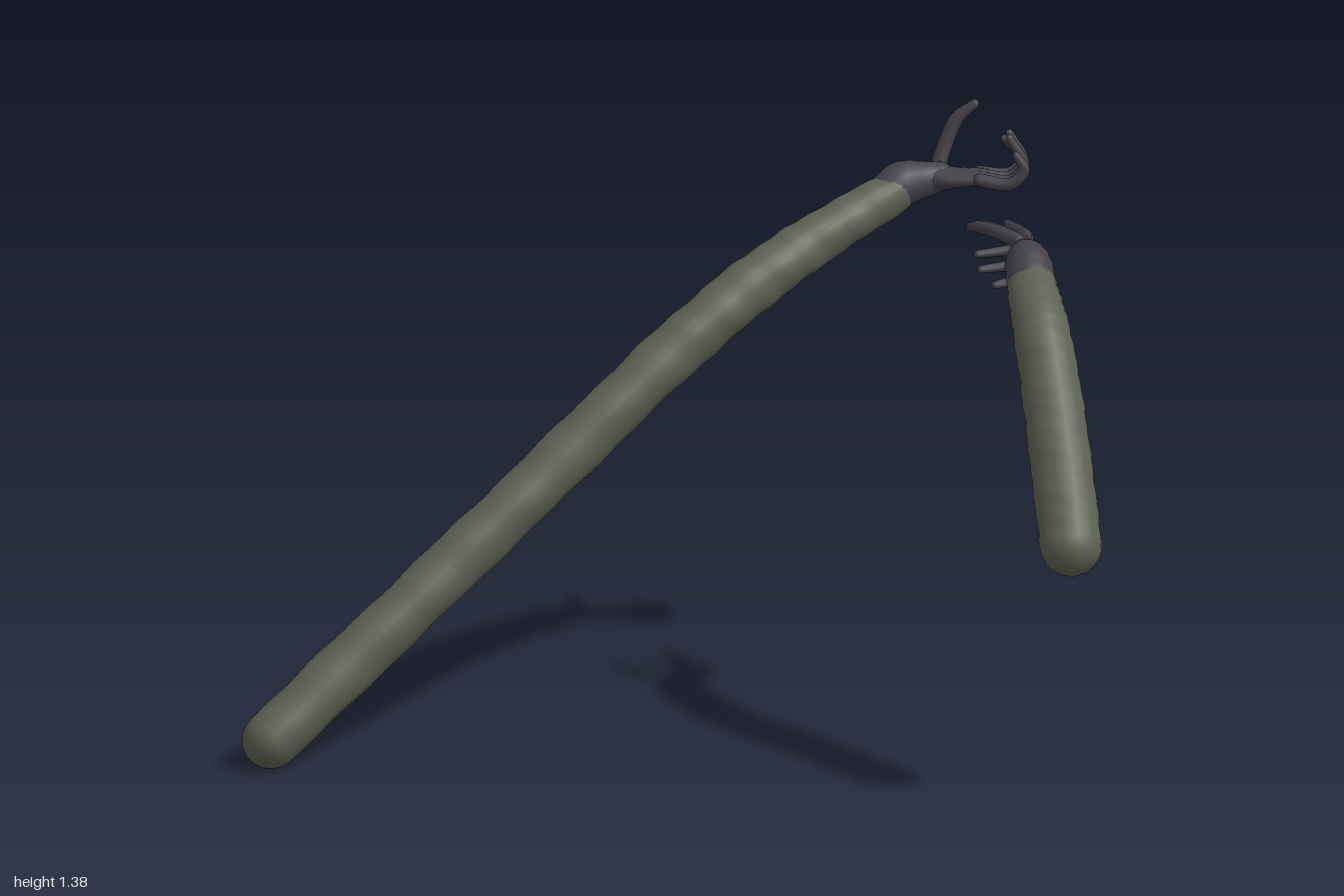
import * as THREE from 'three';

const sleeveMat = new THREE.MeshStandardMaterial({ color: 0x5c5f52 });
sleeveMat.name = 'olive sleeve';
const gloveMat = new THREE.MeshStandardMaterial({ color: 0x434047 });
gloveMat.name = 'dark glove';

// Smooth closed limb through [x, y, z, width radius, depth radius] points,
// with rounded ends; `ref` is the direction of the width radius.
function limb(points, { ref = [0, 1, 0], steps = 24, sides = 14, wrinkle = 0 } = {}) {
  const curve = new THREE.CatmullRomCurve3(points.map(p => new THREE.Vector3(p[0], p[1], p[2])));
  const radii = new THREE.CatmullRomCurve3(
    points.map(p => new THREE.Vector3(p[3], p[4] ?? p[3], 0)), false, 'catmullrom', 0.5);
  const rings = [];
  const CAP = 6;
  for (let k = 0; k < CAP; k++) rings.push([0, -Math.cos(k / CAP * Math.PI / 2), Math.sin(k / CAP * Math.PI / 2)]);
  for (let i = 0; i <= steps; i++) rings.push([i / steps, 0, 1]);
  for (let k = CAP - 1; k >= 0; k--) rings.push([1, Math.cos(k / CAP * Math.PI / 2), Math.sin(k / CAP * Math.PI / 2)]);

  const pos = [], index = [];
  rings.forEach(([t, shift, scale], i) => {
    const r = radii.getPoint(t), tan = curve.getTangent(t);
    const side = new THREE.Vector3(...ref).addScaledVector(tan, -tan.dot(new THREE.Vector3(...ref))).normalize();
    const up = new THREE.Vector3().crossVectors(tan, side);
    const centre = curve.getPoint(t).addScaledVector(tan, shift * Math.min(r.x, r.y));
    for (let j = 0; j < sides; j++) {
      const a = j / sides * Math.PI * 2;
      const fold = 1 + wrinkle * Math.sin(t * 75 + 2.5 * Math.cos(a)) * Math.sin(t * 31 + a);
      const s = Math.max(scale, 0.001) * fold;
      const v = centre.clone().addScaledVector(side, r.x * s * Math.cos(a)).addScaledVector(up, r.y * s * Math.sin(a));
      pos.push(v.x, v.y, v.z);
      if (i < rings.length - 1) {
        const n = (j + 1) % sides, p = i * sides, q = p + sides;
        index.push(p + j, p + n, q + j, p + n, q + n, q + j);
      }
    }
  });
  const geo = new THREE.BufferGeometry();
  geo.setAttribute('position', new THREE.Float32BufferAttribute(pos, 3));
  geo.setIndex(index);
  geo.computeVertexNormals();
  return geo;
}

function add(group, name, mat, points, options) {
  const mesh = new THREE.Mesh(limb(points, options), mat);
  mesh.name = name;
  group.add(mesh);
}

// Finger radii taper from knuckle to tip, with a slight swelling at each joint
function finger(group, name, path, r = 0.016) {
  const taper = [1, 0.95, 0.85, 0.6];
  add(group, name, gloveMat, path.map((p, i) => [...p, r * taper[i]]),
    { ref: [0.3, 0.35, 0.89], steps: 16, sides: 10 });
}

function longArm() {
  const arm = new THREE.Group();
  arm.name = 'longArm';
  add(arm, 'longSleeve', sleeveMat, [
    [-0.93, 0.075, 0.16, 0.069], [-0.6, 0.355, 0.005, 0.068], [-0.3, 0.61, -0.137, 0.067],
    [0, 0.868, -0.28, 0.067], [0.2, 1.015, -0.385, 0.066], [0.36, 1.105, -0.48, 0.06],
    [0.54, 1.19, -0.575, 0.051],
  ], { steps: 90, sides: 24, wrinkle: 0.04 });
  add(arm, 'longCuff', gloveMat, [
    [0.525, 1.187, -0.57, 0.05], [0.56, 1.205, -0.59, 0.054],
    [0.61, 1.212, -0.605, 0.044], [0.645, 1.217, -0.61, 0.036],
  ], { sides: 20 });
  add(arm, 'longPalm', gloveMat, [
    [0.63, 1.215, -0.61, 0.04, 0.036], [0.68, 1.217, -0.6, 0.045, 0.024], [0.75, 1.22, -0.593, 0.05, 0.017],
  ], { ref: [0, 0, 1], sides: 18 });
  finger(arm, 'longThumb', [[0.64, 1.222, -0.635], [0.662, 1.285, -0.652], [0.69, 1.345, -0.66], [0.73, 1.378, -0.662]], 0.019);
  // Four fingers curling upward
  [[-0.64, 1.3, 0.8], [-0.607, 1.322, 0.81], [-0.573, 1.318, 0.81], [-0.543, 1.284, 0.825]].forEach(([z, top, x], i) =>
    finger(arm, 'longFinger' + (i + 1), [
      [0.74, 1.222, -0.593 + (z + 0.593) * 0.75], [0.81, 1.215, z], [0.843, 1.25, z], [x, top, z],
    ]));
  return arm;
}

function shortArm() {
  const arm = new THREE.Group();
  arm.name = 'shortArm';
  add(arm, 'shortSleeve', sleeveMat, [
    [0.923, 0.648, 0.6, 0.073], [0.905, 0.8, 0.49, 0.073], [0.885, 0.95, 0.385, 0.071],
    [0.864, 1.075, 0.293, 0.067], [0.85, 1.13, 0.215, 0.062], [0.838, 1.175, 0.13, 0.055],
  ], { ref: [1, 0, 0], steps: 50, sides: 24, wrinkle: 0.025 });
  add(arm, 'shortCuff', gloveMat, [
    [0.841, 1.172, 0.148, 0.057], [0.836, 1.189, 0.11, 0.062, 0.056],
    [0.832, 1.19, 0.055, 0.053, 0.044], [0.83, 1.187, 0.01, 0.046, 0.034],
  ], { sides: 20 });
  add(arm, 'shortPalm', gloveMat, [
    [0.83, 1.187, 0.015, 0.046, 0.034], [0.83, 1.177, -0.035, 0.049, 0.024], [0.835, 1.155, -0.095, 0.046, 0.017],
  ], { sides: 18 });
  finger(arm, 'shortThumb', [[0.815, 1.225, 0.01], [0.768, 1.237, -0.035], [0.73, 1.237, -0.075], [0.708, 1.227, -0.12]], 0.018);
  finger(arm, 'shortIndex', [[0.837, 1.19, -0.08], [0.838, 1.193, -0.16], [0.822, 1.192, -0.215], [0.797, 1.194, -0.268]]);
  // Three fingers curling inward
  [[1.175, 1.15, -0.193, 0.725], [1.145, 1.117, -0.178, 0.732], [1.115, 1.085, -0.156, 0.765]].forEach(([root, y, z, x], i) =>
    finger(arm, 'shortFinger' + (i + 2), [
      [0.835, root, -0.08], [0.838, (root + y) / 2, z + 0.04], [0.81, y, z], [x, y - 0.003, z + 0.025],
    ]));
  return arm;
}

export function createModel() {
  const model = new THREE.Group();
  model.name = 'pairOfArms';
  model.add(longArm(), shortArm());
  return model;
}
